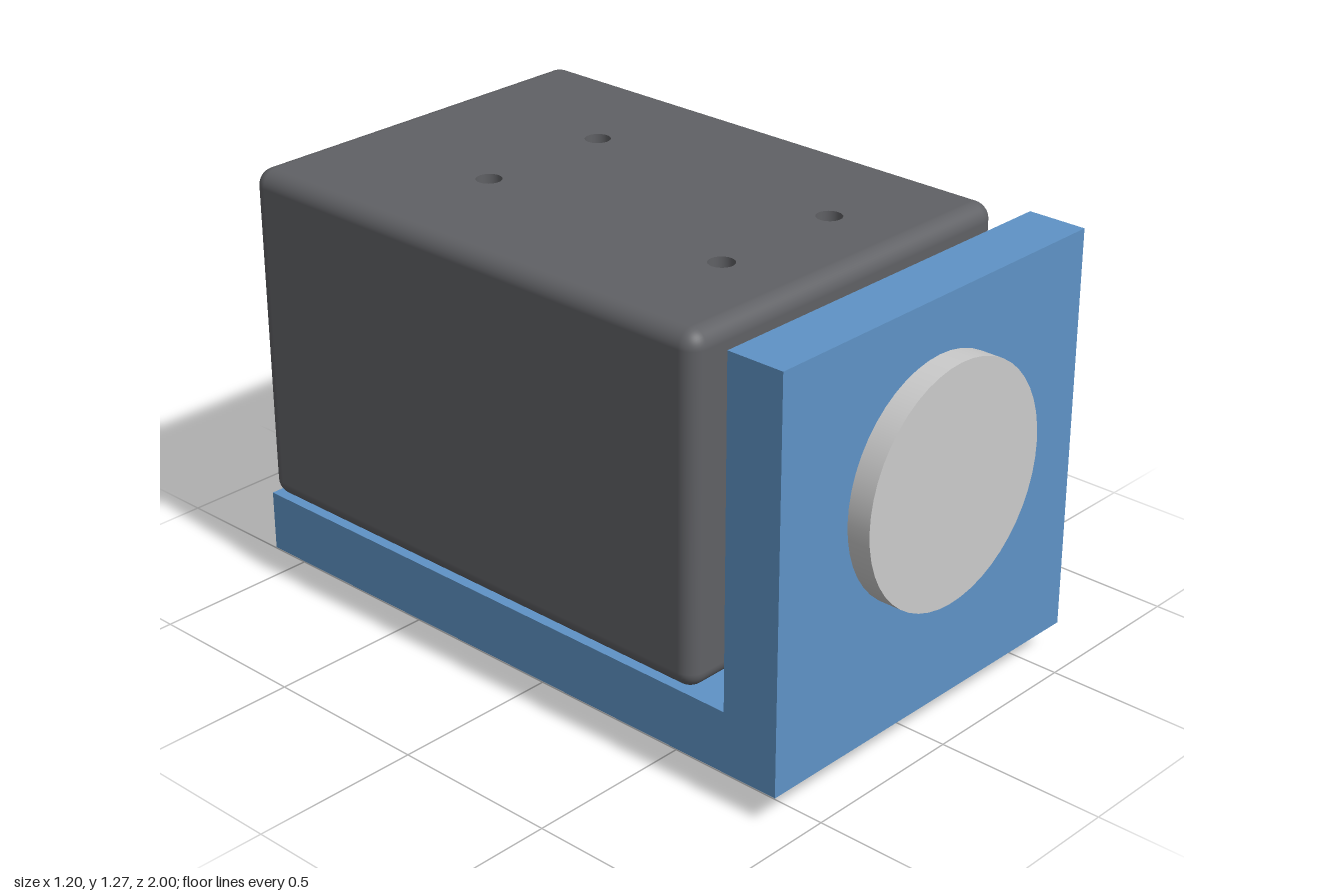
import * as THREE from 'three';
import { RoundedBoxGeometry } from 'three/addons/geometries/RoundedBoxGeometry.js';

const W = 1.2;
const blue = new THREE.MeshStandardMaterial({ color: 0x5f93c6 });
const dark = new THREE.MeshStandardMaterial({ color: 0x606165 });
const grey = new THREE.MeshStandardMaterial({ color: 0xcccccc });
const darkInside = new THREE.MeshStandardMaterial({ color: 0x606165, side: THREE.DoubleSide });

export function createModel() {
  const model = new THREE.Group();

  function add(parent, name, geometry, material, x = 0, y = 0, z = 0) {
    const mesh = new THREE.Mesh(geometry, material);
    mesh.name = name;
    mesh.position.set(x, y, z);
    parent.add(mesh);
    return mesh;
  }

  // L-shaped bracket: side profile in (z, y), extruded across the width
  const profile = new THREE.Shape([
    [-1, 0.09], [0.93, 0.09], [0.93, 1.275], [0.755, 1.275], [0.755, 0.27], [-1, 0.27],
  ].map(([z, y]) => new THREE.Vector2(z, y)));
  const bracket = new THREE.ExtrudeGeometry(profile, { depth: W, bevelEnabled: false });
  bracket.rotateY(-Math.PI / 2).translate(W / 2, 0, 0);
  add(model, 'bracket', bracket, blue);

  // Rounded housing, with its flat top panel replaced by one with holes
  const housing = new THREE.Group();
  housing.name = 'housing';
  model.add(housing);
  const h = 1.005, len = 1.645, r = 0.05;
  const cy = 0.27 + h / 2, cz = -1 + len / 2, top = 0.27 + h;
  const shell = new RoundedBoxGeometry(W, h, len, 5, r);
  const p = shell.attributes.position, n = shell.attributes.normal;
  const pos = [], nor = [];
  for (let i = 0; i < p.count; i += 3) {
    if ([0, 1, 2].every((k) => p.getY(i + k) > h / 2 - 1e-4)) continue;
    for (let k = i; k < i + 3; k++) {
      pos.push(p.getX(k), p.getY(k), p.getZ(k));
      nor.push(n.getX(k), n.getY(k), n.getZ(k));
    }
  }
  const openShell = new THREE.BufferGeometry();
  openShell.setAttribute('position', new THREE.Float32BufferAttribute(pos, 3));
  openShell.setAttribute('normal', new THREE.Float32BufferAttribute(nor, 3));
  add(housing, 'housingShell', openShell, dark, 0, cy, cz);

  const px = W / 2 - r, pz = len / 2 - r;
  const panel = new THREE.Shape([
    new THREE.Vector2(-px, -pz), new THREE.Vector2(px, -pz),
    new THREE.Vector2(px, pz), new THREE.Vector2(-px, pz),
  ]);
  const holeR = 0.037, holeDepth = 0.15;
  for (const x of [-0.212, 0.212]) {
    for (const z of [-0.462, 0.388]) {
      // Panel y runs towards -z once laid flat
      panel.holes.push(new THREE.Path().absarc(x, cz - z, holeR, 0, Math.PI * 2, true));
      add(housing, 'screwHoleWall', new THREE.CylinderGeometry(holeR, holeR, holeDepth, 24, 1, true),
        darkInside, x, top - holeDepth / 2, z);
      add(housing, 'screwHoleFloor', new THREE.CircleGeometry(holeR, 24).rotateX(-Math.PI / 2),
        dark, x, top - holeDepth, z);
    }
  }
  add(housing, 'housingTop', new THREE.ShapeGeometry(panel, 12).rotateX(-Math.PI / 2), dark, 0, top, cz);

  // Large disc on the front of the upright plate
  const disc = new THREE.CylinderGeometry(0.344, 0.344, 0.07, 48).rotateX(Math.PI / 2);
  add(model, 'frontDisc', disc, grey, 0, 0.772, 0.965);

  // Feet below the base and studs behind the upright plate
  const foot = new THREE.CylinderGeometry(0.079, 0.079, 0.09, 32);
  const stud = new THREE.CylinderGeometry(0.066, 0.066, 0.04, 32).rotateX(Math.PI / 2);
  for (const s of [-1, 1]) {
    for (const z of [0.395, -0.457]) add(model, 'foot', foot, grey, s * 0.212, 0.045, z);
    for (const y of [0.572, 0.975]) add(model, 'rearStud', stud, grey, s * 0.202, y, 0.737);
  }
  return model;
}
